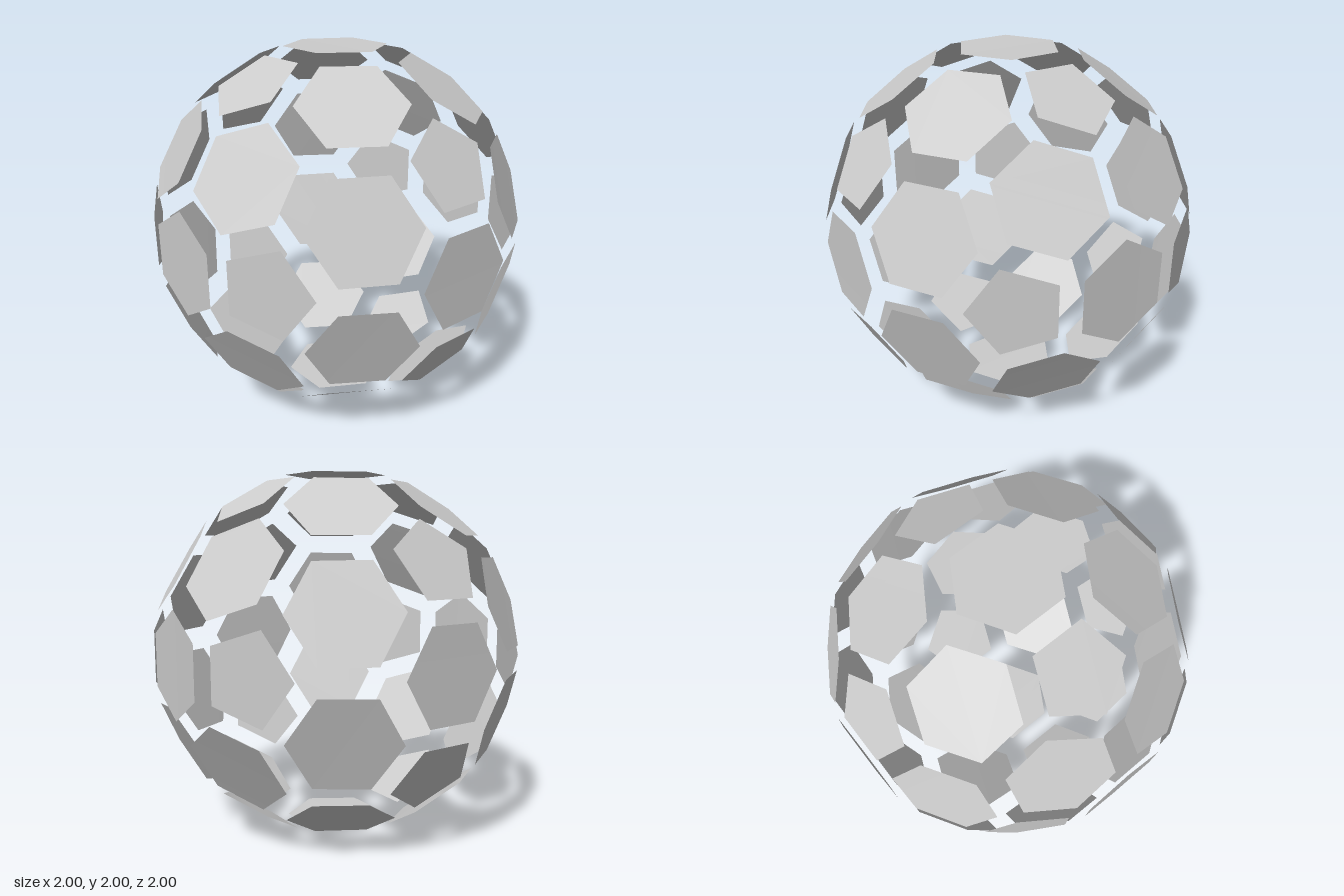
import * as THREE from 'three';

const RADIUS = 1.04; // every panel corner lies on this sphere
const material = new THREE.MeshStandardMaterial({ color: 0xcccccc, side: THREE.DoubleSide });

// Thin panel facing `normal`; `up` is the direction of the outline's +y axis
function panel(name, normal, up, outline) {
  const side = new THREE.Vector3().crossVectors(up, normal);
  const positions = [];
  for (const [x, y] of outline) {
    const height = Math.sqrt(RADIUS * RADIUS - x * x - y * y);
    const p = normal.clone().multiplyScalar(height).addScaledVector(side, x).addScaledVector(up, y);
    positions.push(p.x, p.y, p.z);
  }
  const index = [];
  for (let i = 1; i < outline.length - 1; i++) index.push(0, i, i + 1);
  const geometry = new THREE.BufferGeometry();
  geometry.setAttribute('position', new THREE.Float32BufferAttribute(positions, 3));
  geometry.setIndex(index);
  geometry.computeVertexNormals();
  const mesh = new THREE.Mesh(geometry, material);
  mesh.name = name;
  return mesh;
}

export function createModel() {
  const ball = new THREE.Group();
  ball.name = 'panelBall';
  ball.position.y = 1;
  const pentagons = new THREE.Group();
  pentagons.name = 'pentagonPanels';
  const hexagons = new THREE.Group();
  hexagons.name = 'hexagonPanels';
  ball.add(pentagons, hexagons);

  // Twelve icosahedron directions carry the pentagons
  const golden = (1 + Math.sqrt(5)) / 2;
  const dirs = [];
  for (const a of [-1, 1]) {
    for (const b of [-golden, golden]) {
      dirs.push(new THREE.Vector3(0, a, b), new THREE.Vector3(b, 0, a), new THREE.Vector3(a, b, 0));
    }
  }
  dirs.forEach((d) => d.normalize());
  const adjacent = (p, q) => p !== q && p.dot(q) > 0.4;

  // Pentagons: each flat side faces a neighbouring pentagon
  const pentagon = [];
  for (let i = 0; i < 5; i++) {
    const t = -Math.PI / 2 + (i * 2 * Math.PI) / 5;
    pentagon.push([0.247 * Math.cos(t), 0.247 * Math.sin(t)]);
  }
  for (const p of dirs) {
    const neighbour = dirs.find((q) => adjacent(p, q));
    const up = neighbour.clone().addScaledVector(p, -p.dot(neighbour)).normalize();
    pentagons.add(panel('pentagonPanel', p, up, pentagon));
  }

  // Hexagons: one midway between each pair of neighbouring pentagons
  const hexagon = [
    [0.291, 0], [0.145, 0.245], [-0.145, 0.245],
    [-0.291, 0], [-0.145, -0.245], [0.145, -0.245],
  ];
  dirs.forEach((p, i) => {
    for (const q of dirs.slice(i + 1)) {
      if (!adjacent(p, q)) continue;
      const normal = p.clone().add(q).normalize();
      const up = p.clone().sub(q).normalize();
      hexagons.add(panel('hexagonPanel', normal, up, hexagon));
    }
  });

  const model = new THREE.Group();
  model.name = 'model';
  model.add(ball);
  return model;
}
